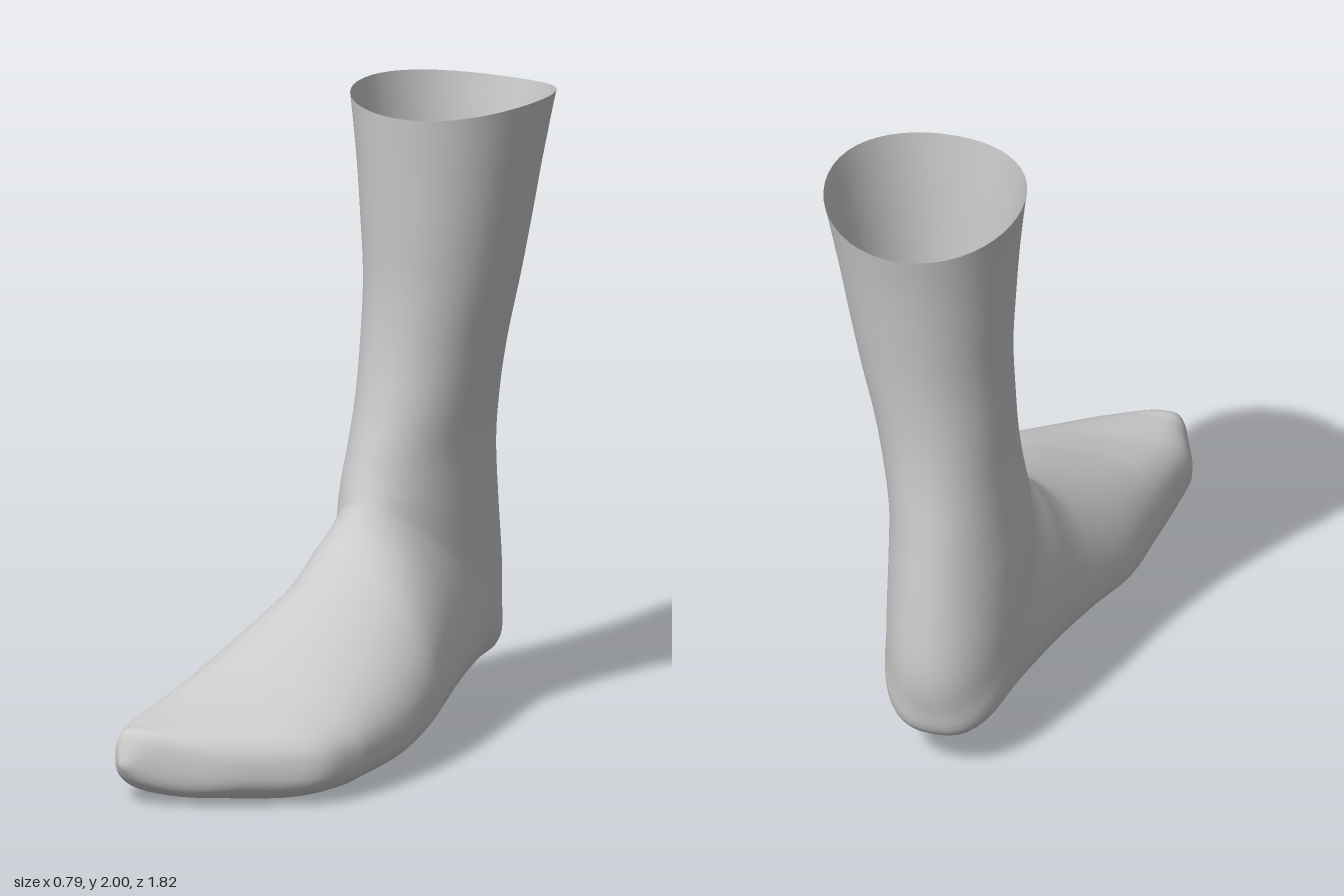
import * as THREE from 'three';

// Foot, toe tip to instep, upright sections:
// z, top y, sole y, min x, max x, ridge x, height of widest point, roundness above, below
const foot = [
  [0.912, 0.15, 0.12, -0.31, -0.28, -0.295, 0.5, 2, 2],
  [0.88, 0.232, 0.07, -0.34, -0.19, -0.29, 0.45, 2.4, 2.4],
  [0.82, 0.245, 0.03, -0.37, -0.03, -0.27, 0.42, 2.5, 2.5],
  [0.74, 0.258, 0.015, -0.4, 0.1, -0.25, 0.42, 2.5, 2.6],
  [0.63, 0.28, 0.004, -0.397, 0.245, -0.23, 0.42, 2.5, 2.8],
  [0.5, 0.322, 0.002, -0.39, 0.295, -0.19, 0.4, 2.3, 3],
  [0.4, 0.362, 0.008, -0.387, 0.313, -0.15, 0.38, 2.1, 3],
  [0.2, 0.452, 0.02, -0.376, 0.325, -0.1, 0.32, 1.9, 3],
].map(([z, t, b, ...rest]) => [z, t, z, b, ...rest]);

// Instep and heel, sections fanned around the ankle bend:
// front z, front y, back z, back y, then as above
const ankle = [
  [0, 0.556, 0, 0.045, -0.33, 0.31, -0.06, 0.3, 1.8, 3],
  [-0.06, 0.605, -0.2, 0.07, -0.298, 0.275, -0.05, 0.33, 1.9, 3],
  [-0.11, 0.65, -0.42, 0.1, -0.275, 0.235, -0.05, 0.38, 2, 3],
  [-0.145, 0.695, -0.65, 0.125, -0.255, 0.2, -0.04, 0.42, 2, 2.9],
  [-0.17, 0.735, -0.845, 0.138, -0.245, 0.185, -0.03, 0.45, 2, 2.6],
  [-0.18, 0.755, -0.89, 0.25, -0.242, 0.18, -0.03, 0.48, 2, 2.3],
  [-0.19, 0.78, -0.91, 0.4, -0.24, 0.18, -0.03, 0.5, 2, 2.1],
  [-0.205, 0.82, -0.888, 0.62, -0.232, 0.18, -0.03, 0.5, 2, 2],
  [-0.225, 0.89, -0.856, 0.84, -0.215, 0.183, -0.02, 0.5, 2, 2],
];

// Leg, level sections: y, front z, back z, min x, max x
const leg = [
  [1.02, -0.255, -0.83, -0.2, 0.203],
  [1.2, -0.279, -0.82, -0.193, 0.235],
  [1.4, -0.282, -0.828, -0.188, 0.28],
  [1.6, -0.268, -0.85, -0.198, 0.318],
  [1.8, -0.252, -0.877, -0.213, 0.353],
  [1.975, -0.236, -0.905, -0.235, 0.39],
].map(([y, f, b, l, r]) => [f, y, b, y - (y > 1.9 ? 0.02 : 0), l, r, (l + r) / 2, 0.5, 2.05, 2.05]);

const SIDES = 48, STEPS = 5;
const sections = [...foot, ...ankle, ...leg];

// Smooth blend of the section table at position k
function sectionAt(k) {
  const n = sections.length - 1;
  const i = Math.min(Math.floor(k), n - 1), t = k - i;
  const [p, a, b, q] = [i - 1, i, i + 1, i + 2].map(j => sections[Math.max(0, Math.min(n, j))]);
  return a.map((v, c) => {
    const m0 = (b[c] - p[c]) * 0.5, m1 = (q[c] - v) * 0.5;
    const t2 = t * t, t3 = t2 * t;
    return (2 * t3 - 3 * t2 + 1) * v + (t3 - 2 * t2 + t) * m0 + (3 * t2 - 2 * t3) * b[c] + (t3 - t2) * m1;
  });
}

// One point of a superelliptic ring
function ringPoint([fz, fy, bz, by, xl, xr, xt, m, pf, pb], a) {
  const c = Math.cos(a), s = Math.sin(a);
  const e = 2 / (c > 0 ? pf : pb);
  const u = Math.abs(c) ** e, w = Math.sign(s) * Math.abs(s) ** e;
  const mid = (xl + xr) / 2;
  const cz = bz + (fz - bz) * m, cy = by + (fy - by) * m;
  const shift = c > 0 ? (xt - mid) * (1 - Math.abs(w)) : 0;
  const x = mid + w * (xr - xl) / 2 + shift;
  const z = cz + u * ((c > 0 ? fz : bz) - cz);
  let y = cy + u * ((c > 0 ? fy : by) - cy);
  // the rim rises at both sides
  y += THREE.MathUtils.smoothstep(y, 1.8, 1.965) * w * w * (s > 0 ? 0.035 : 0.025);
  return [x, y, z];
}

function loft() {
  const pos = [], index = [];
  const rings = (sections.length - 1) * STEPS;
  for (let i = 0; i <= rings; i++) {
    const sec = sectionAt(i / STEPS);
    for (let j = 0; j < SIDES; j++) pos.push(...ringPoint(sec, j / SIDES * Math.PI * 2));
  }
  for (let i = 0; i < rings; i++) {
    for (let j = 0; j < SIDES; j++) {
      const a = i * SIDES + j, b = i * SIDES + (j + 1) % SIDES;
      index.push(a, b, a + SIDES, b, b + SIDES, a + SIDES);
    }
  }
  // close the toe tip
  const tip = pos.length / 3;
  pos.push(-0.295, 0.135, 0.914);
  for (let j = 0; j < SIDES; j++) index.push(tip, (j + 1) % SIDES, j);
  const g = new THREE.BufferGeometry();
  g.setAttribute('position', new THREE.Float32BufferAttribute(pos, 3));
  g.setIndex(index);
  g.computeVertexNormals();
  return g;
}

export function createModel() {
  const group = new THREE.Group();
  group.name = 'sock';
  const material = new THREE.MeshStandardMaterial({ color: 0xcccccc, side: THREE.DoubleSide });
  const body = new THREE.Mesh(loft(), material);
  body.name = 'sockBody';
  group.add(body);
  return group;
}
